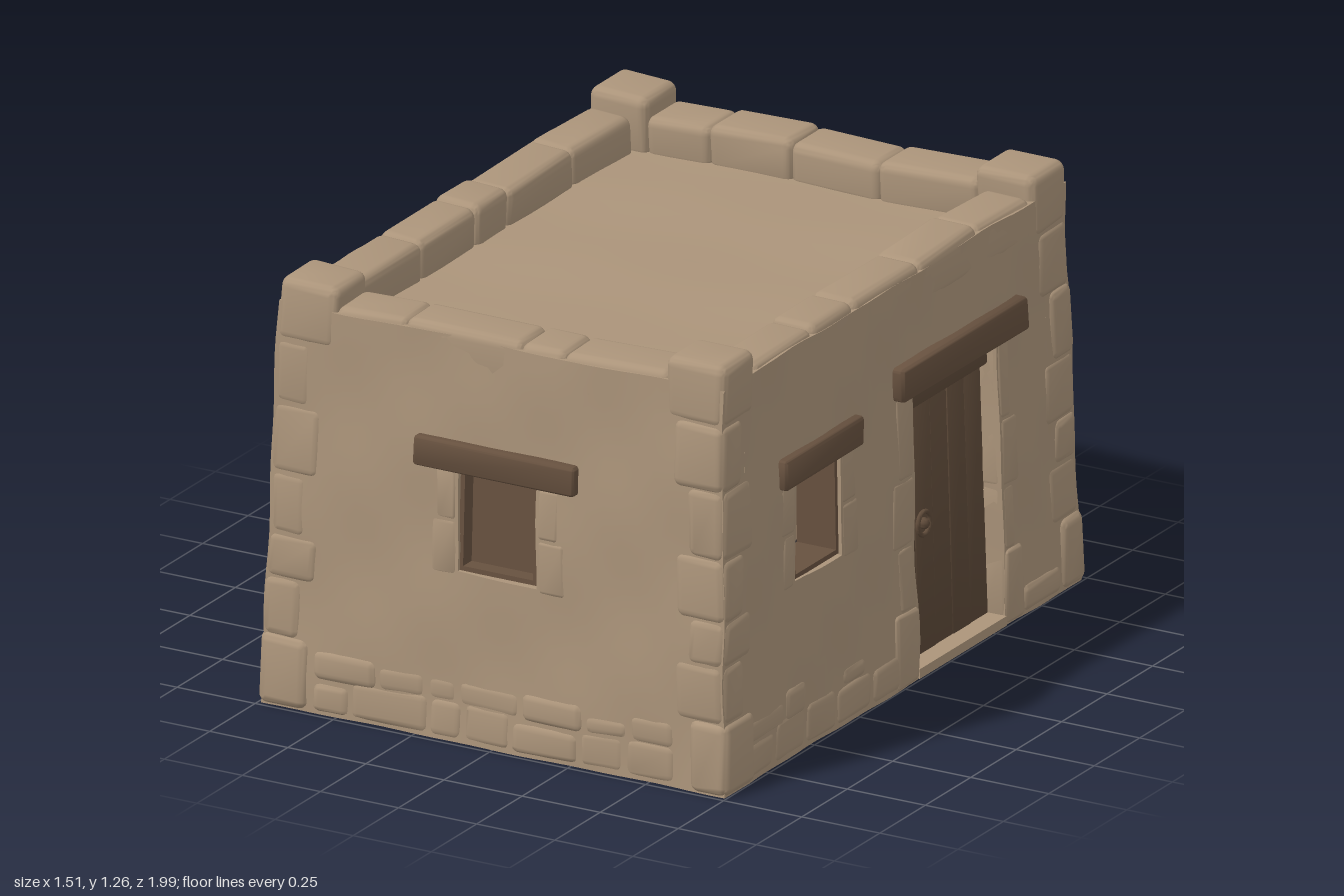
import * as THREE from 'three';
import { mergeGeometries, toCreasedNormals } from 'three/addons/utils/BufferGeometryUtils.js';
import { RoundedBoxGeometry } from 'three/addons/geometries/RoundedBoxGeometry.js';

const HX = 0.742, HZ = 0.982, T = 0.13, WALL_TOP = 1.185;

// Small seeded random
let seed = 7;
const rnd = (a = 0, b = 1) => {
  seed = (seed * 16807) % 2147483647;
  return a + (b - a) * (seed / 2147483647);
};

// Each side: angle about y, distance of its outer face, half length.
// u runs along the side, to the right when seen from outside.
const SIDES = {
  front: { angle: 0, d: HZ, half: HX },
  right: { angle: Math.PI / 2, d: HX, half: HZ },
  back: { angle: Math.PI, d: HZ, half: HX },
  left: { angle: -Math.PI / 2, d: HX, half: HZ },
};

const WINDOWS = [
  { side: 'front', u: 0, shut: true, beam: 0.265 },
  { side: 'back', u: 0, shut: true, beam: 0.265 },
  { side: 'right', u: -0.445, shut: false, beam: 0.225 },
  { side: 'left', u: 0.445, shut: false, beam: 0.225 },
  { side: 'left', u: -0.45, shut: true, beam: 0.225 },
];
const WY0 = 0.5, WY1 = 0.8, WHALF = 0.128;
const DOOR = { u0: 0.09, u1: 0.57, top: 0.84 };

// Uneven plaster plus inward lean of the walls
function shape(geo, rough) {
  const p = geo.attributes.position;
  for (let i = 0; i < p.count; i++) {
    const x = p.getX(i), y = p.getY(i), z = p.getZ(i);
    const nx = Math.sin(11 * y + 7 * z + 1) + 0.7 * Math.sin(23 * z - 17 * y);
    const nz = Math.sin(12 * y - 8 * x + 2) + 0.7 * Math.sin(21 * x + 16 * y);
    const ny = Math.sin(9 * x + 3) + Math.sin(11 * z + 1);
    const k = 1 - 0.035 * y;
    p.setXYZ(i, (x + rough * nx) * k, Math.max(0, y + (y > 0.02 ? rough * ny : 0)), (z + rough * nz) * k);
  }
  return toCreasedNormals(geo, 0.8);
}

// Box given by its limits in a side's own frame; z is measured outward from the wall face
function sideBox(side, u0, u1, y0, y1, z0, z1, radius = 0) {
  const s = SIDES[side], w = u1 - u0, h = y1 - y0, dp = z1 - z0;
  const n = (v) => Math.max(1, Math.ceil(v / 0.06));
  const g = radius
    ? new RoundedBoxGeometry(w, h, dp, 3, Math.min(radius, w / 2.1, h / 2.1, dp / 2.1))
    : new THREE.BoxGeometry(w, h, dp, n(w), n(h), 1).toNonIndexed();
  g.translate((u0 + u1) / 2, (y0 + y1) / 2, s.d + (z0 + z1) / 2);
  return g.rotateY(s.angle);
}

// Splits a span into stones of uneven length
function split(a, b, size) {
  const count = Math.max(1, Math.round((b - a) / size)), cuts = [a];
  for (let i = 1; i < count; i++) cuts.push(a + ((b - a) * (i + rnd(-0.28, 0.28))) / count);
  cuts.push(b);
  return cuts;
}

export function createModel() {
  const house = new THREE.Group();
  house.name = 'house';
  const material = (name, color) => Object.assign(new THREE.MeshStandardMaterial({ color }), { name });
  const clay = material('clay', 0xab947a);
  const wood = material('wood', 0x67513f);
  const darkWood = material('dark wood', 0x5e4a39);
  const add = (name, geos, mat, rough) => {
    const mesh = new THREE.Mesh(shape(mergeGeometries(geos), rough), mat);
    mesh.name = name;
    house.add(mesh);
  };

  for (const [side, s] of Object.entries(SIDES)) {
    const holes = WINDOWS.filter((w) => w.side === side)
      .map((w) => ({ u0: w.u - WHALF, u1: w.u + WHALF, y0: WY0, y1: WY1 }));
    if (side === 'right') holes.push({ u0: DOOR.u0, u1: DOOR.u1, y0: 0, y1: DOOR.top });

    // Wall made of grid cells, leaving out the openings
    const end = s.half === HX ? HX : HZ - T;
    const sorted = (list) => [...new Set(list)].sort((a, b) => a - b);
    const us = sorted([-end, end, ...holes.flatMap((h) => [h.u0, h.u1])]);
    const ys = sorted([0, WALL_TOP, ...holes.flatMap((h) => [h.y0, h.y1])]);
    const cells = [];
    for (let i = 0; i + 1 < us.length; i++) {
      for (let j = 0; j + 1 < ys.length; j++) {
        const u = (us[i] + us[i + 1]) / 2, y = (ys[j] + ys[j + 1]) / 2;
        if (holes.some((h) => u > h.u0 && u < h.u1 && y > h.y0 && y < h.y1)) continue;
        cells.push(sideBox(side, us[i], us[i + 1], ys[j], ys[j + 1], -T, 0));
      }
    }
    add(side + 'Wall', cells, clay, 0.003);

    // Two uneven courses of base stones, half sunk in the plaster
    const base = [];
    const runs = side === 'right' ? [[-0.87, 0.0], [0.66, 0.87]] : [[0.16 - s.half, s.half - 0.16]];
    for (const [a, b] of runs) {
      for (const [y0, y1] of [[0, 0.12], [0.1, 0.2]]) {
        const cuts = split(a, b, 0.16);
        for (let i = 0; i + 1 < cuts.length; i++) {
          if (y0 && rnd() < 0.25) continue;
          base.push(sideBox(side, cuts[i] - 0.005, cuts[i + 1] + 0.005, y0, y1 + rnd(-0.03, 0.02), -0.08, rnd(0.002, 0.008), 0.03));
        }
      }
    }
    add(side + 'BaseStones', base, clay, 0.003);

    // Parapet stones between the corner posts, flush with the wall outside
    const cuts = split(0.19 - s.half, s.half - 0.19, 0.31), parapet = [];
    const depth = s.half === HX ? 0.175 : 0.155;
    for (let i = 0; i + 1 < cuts.length; i++) {
      parapet.push(sideBox(side, cuts[i] - 0.005, cuts[i + 1] + 0.005, 1.07, 1.205 + rnd(-0.005, 0.007), -depth + rnd(-0.008, 0.006), -0.001, 0.03));
    }
    add(side + 'Parapet', parapet, clay, 0.003);
  }

  // Corner stones of varying length, closely stacked, with a post on top
  const corners = [];
  const levels = [0, 0.2, 0.37, 0.5, 0.68, 0.88, 1.07, 1.255];
  for (const sx of [-1, 1]) {
    for (const sz of [-1, 1]) {
      for (let i = 0; i < 7; i++) {
        const post = i === 6, long = (i + (sx * sz > 0 ? 1 : 0)) % 2 === 0;
        const w = post ? 0.2 : long ? rnd(0.16, 0.18) : 0.128;
        const d = post ? 0.19 : long ? 0.125 : rnd(0.16, 0.18);
        const h = levels[i + 1] - levels[i] + (post ? 0 : 0.014);
        const out = post ? 0.004 : i === 0 ? 0.013 : rnd(0.003, 0.01);
        const g = new RoundedBoxGeometry(w, h, d, 3, 0.03);
        g.translate(sx * (HX + out - w / 2), levels[i] + h / 2, sz * (HZ + out - d / 2));
        corners.push(g);
      }
    }
  }
  add('cornerStones', corners, clay, 0.003);

  // Flat roof sunk behind the parapet
  const roof = new THREE.BoxGeometry(1.32, 0.05, 1.8, 14, 1, 18).toNonIndexed();
  add('roof', [roof.translate(0, 1.07, 0)], clay, 0.003);

  // Windows: lining, shutter, lintel and jamb stones
  for (const w of WINDOWS) {
    const a = w.u - WHALF, b = w.u + WHALF, e = 0.014;
    const parts = [
      sideBox(w.side, a, a + e, WY0, WY1, -T - 0.01, -0.012),
      sideBox(w.side, b - e, b, WY0, WY1, -T - 0.01, -0.012),
      sideBox(w.side, a, b, WY0, WY0 + e, -T - 0.01, -0.012),
      sideBox(w.side, a, b, WY1 - e, WY1, -T - 0.01, -0.012),
    ];
    if (w.shut) parts.push(sideBox(w.side, a, b, WY0, WY1, -T - 0.005, -0.06));
    add(w.side + 'Window', parts, wood, 0);
    add(w.side + 'WindowLintel',
      [sideBox(w.side, w.u - w.beam, w.u + w.beam, WY1 - 0.005, WY1 + 0.083, -0.05, 0.027, 0.012)], wood, 0.002);
    const jambs = [];
    for (const [y0, y1] of [[0.48, 0.65], [0.64, 0.8]]) {
      jambs.push(sideBox(w.side, a - rnd(0.06, 0.1), a, y0, y1, -0.09, 0.002, 0.018));
      jambs.push(sideBox(w.side, b, b + rnd(0.06, 0.1), y0, y1, -0.09, 0.002, 0.018));
    }
    add(w.side + 'WindowJambStones', jambs, clay, 0.003);
  }

  // Plank door with header, lintel, sill and ring handle
  const planks = [], n = 5, pw = (DOOR.u1 - DOOR.u0) / n;
  for (let i = 0; i < n; i++) {
    const u = DOOR.u0 + i * pw;
    planks.push(sideBox('right', u, u + pw, 0.025, 0.78, -T - 0.005, -0.058 + (i % 2) * 0.002, 0.003));
  }
  add('door', planks, darkWood, 0);
  add('doorHeader', [sideBox('right', DOOR.u0, DOOR.u1, 0.77, 0.85, -T, -0.03, 0.01)], darkWood, 0);
  add('doorLintel', [sideBox('right', -0.01, 0.7, 0.845, 0.945, -0.05, 0.037, 0.014)], wood, 0.002);
  add('doorSill', [sideBox('right', DOOR.u0, DOOR.u1, 0, 0.028, -T, 0.002)], clay, 0);
  const handle = [
    new THREE.TorusGeometry(0.034, 0.007, 8, 24).toNonIndexed(),
    new THREE.SphereGeometry(0.017, 12, 8).toNonIndexed(),
  ].map((g) => g.translate(0.215, 0.41, HX - 0.046).rotateY(Math.PI / 2));
  add('doorHandle', handle, darkWood, 0);

  // Stones on both sides of the door
  const jambs = [];
  const steps = [0, 0.21, 0.4, 0.6, 0.84];
  for (let i = 0; i < 4; i++) {
    const wide = i % 2 ? 0.07 : 0.1, out = i ? 0.003 : 0.009;
    jambs.push(sideBox('right', DOOR.u0 - wide - 0.03, DOOR.u0, steps[i], steps[i + 1] + 0.01, -0.09, out, 0.02));
    jambs.push(sideBox('right', DOOR.u1, DOOR.u1 + wide, steps[i], steps[i + 1] + 0.01, -0.09, out, 0.02));
  }
  add('doorJambStones', jambs, clay, 0.003);

  return house;
}
